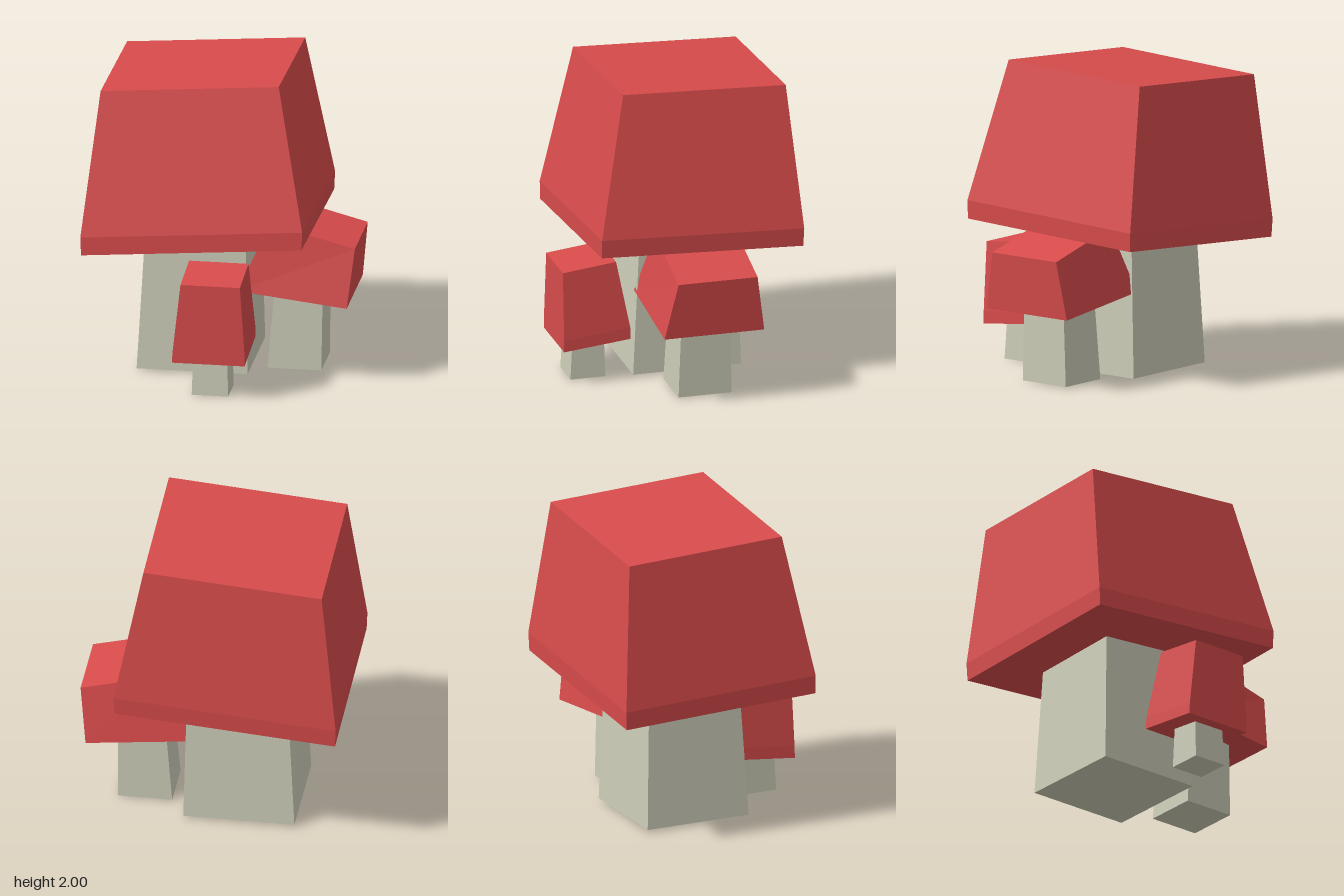
import * as THREE from 'three';

const red = new THREE.MeshStandardMaterial({ color: 0xd84b4b, flatShading: true });
const cream = new THREE.MeshStandardMaterial({ color: 0xccccb8, flatShading: true });

// Four-sided block through rectangular rings listed bottom to top.
// Ring: [xMin, xMax, zMin, zMax, height, slope along x, slope along z]
function block(name, material, rings) {
  const pos = [];
  const index = [];
  for (const [x0, x1, z0, z1, h, sx = 0, sz = 0] of rings) {
    for (const [x, z] of [[x0, z1], [x1, z1], [x1, z0], [x0, z0]]) {
      pos.push(x, h + sx * x + sz * z, z);
    }
  }
  for (let r = 0; r < rings.length - 1; r++) {
    for (let i = 0; i < 4; i++) {
      const a = r * 4 + i, b = r * 4 + (i + 1) % 4;
      index.push(a, b, b + 4, a, b + 4, a + 4);
    }
  }
  const t = (rings.length - 1) * 4;
  index.push(0, 2, 1, 0, 3, 2, t, t + 1, t + 2, t, t + 2, t + 3);
  const indexed = new THREE.BufferGeometry();
  indexed.setAttribute('position', new THREE.Float32BufferAttribute(pos, 3));
  indexed.setIndex(index);
  const geometry = indexed.toNonIndexed();
  geometry.computeVertexNormals();
  const mesh = new THREE.Mesh(geometry, material);
  mesh.name = name;
  return mesh;
}

function mushroom(name, capRings, stemRings) {
  const group = new THREE.Group();
  group.name = name;
  group.add(block('cap', red, capRings), block('stem', cream, stemRings));
  return group;
}

export function createModel() {
  const model = new THREE.Group();
  model.name = 'mushroomCluster';

  // Large mushroom: tilted cap with a short upright rim
  model.add(mushroom('largeMushroom', [
    [-0.845, 0.565, -0.735, 0.59, 0.911, 0.079, 0.041],
    [-0.85, 0.57, -0.74, 0.59, 1.03, 0.079, 0.041],
    [-0.75, 0.39, -0.67, 0.4, 1.953, 0.079, 0.041],
  ], [
    [-0.54, 0.17, -0.44, 0.27, 0.015],
    [-0.49, 0.15, -0.405, 0.22, 0.97],
  ]));

  // Medium mushroom: leans out to the side
  model.add(mushroom('mediumMushroom', [
    [0.1, 0.8, -0.41, 0.245, 0.571, -0.114],
    [0.3, 0.84, -0.355, 0.165, 1.074, -0.261],
  ], [
    [0.27, 0.615, -0.25, 0.1, 0.005],
    [0.32, 0.622, -0.235, 0.08, 0.6],
  ]));

  // Small mushroom: leans forward
  model.add(mushroom('smallMushroom', [
    [-0.24, 0.225, 0.305, 0.74, 0.313, 0, -0.105],
    [-0.235, 0.225, 0.305, 0.74, 0.39, 0, -0.105],
    [-0.185, 0.195, 0.39, 0.74, 0.844, 0, -0.114],
  ], [
    [-0.125, 0.108, 0.435, 0.665, 0],
    [-0.115, 0.098, 0.445, 0.645, 0.35],
  ]));

  return model;
}
